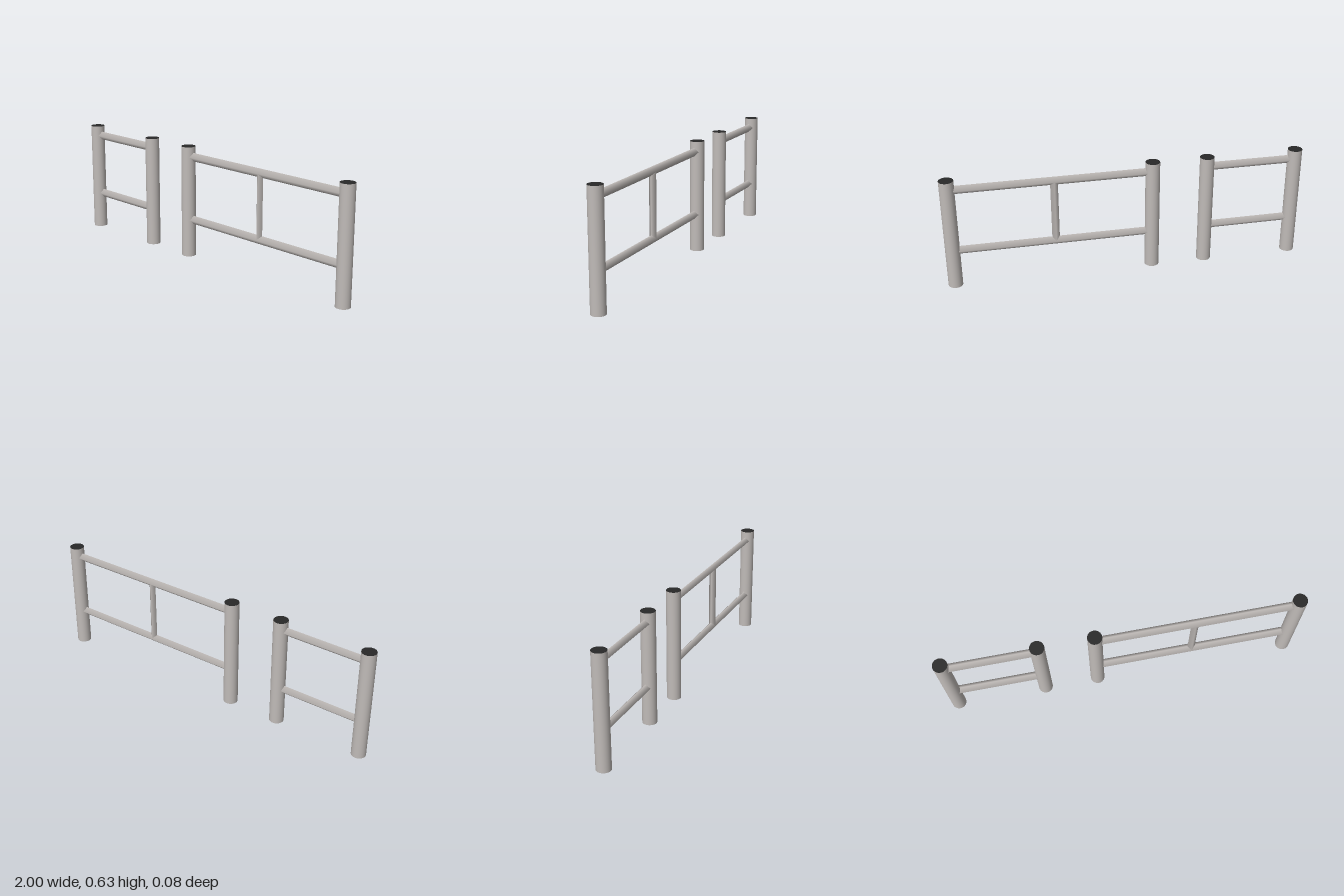
import * as THREE from 'three';

export function createModel() {
  const model = new THREE.Group();
  model.name = 'railings';

  const metal = new THREE.MeshStandardMaterial({ color: 0xc0bbb8, side: THREE.DoubleSide });
  metal.name = 'light warm grey metal';
  const dark = new THREE.MeshStandardMaterial({ color: 0x282828, side: THREE.DoubleSide });
  dark.name = 'near black';

  const HEIGHT = 0.635;
  const POST_R = 0.04;
  const RAIL_R = 0.024;
  const RAIL_Y = [0.215, 0.578];

  // Open-ended smooth tube, standing upright
  function tube(name, radius, length, sides, parent) {
    const mesh = new THREE.Mesh(new THREE.CylinderGeometry(radius, radius, length, sides, 1, true), metal);
    mesh.name = name;
    parent.add(mesh);
    return mesh;
  }

  // Post with a dark closed top and an open foot
  function addPost(x, parent) {
    const post = new THREE.Group();
    post.name = 'post';
    post.position.x = x;
    tube('postTube', POST_R, HEIGHT, 24, post).position.y = HEIGHT / 2;
    const cap = new THREE.Mesh(new THREE.CircleGeometry(POST_R, 24), dark);
    cap.name = 'postCap';
    cap.rotation.x = -Math.PI / 2;
    cap.position.y = HEIGHT;
    post.add(cap);
    parent.add(post);
  }

  // Two posts joined by a lower and an upper rail
  function addSection(name, x0, x1) {
    const section = new THREE.Group();
    section.name = name;
    addPost(x0, section);
    addPost(x1, section);
    for (const y of RAIL_Y) {
      const rail = tube('rail', RAIL_R, x1 - x0 - 0.06, 4, section);
      rail.rotation.z = Math.PI / 2;
      rail.position.set((x0 + x1) / 2, y, 0);
    }
    model.add(section);
    return section;
  }

  addSection('shortSection', -0.96, -0.453);
  const long = addSection('longSection', -0.147, 0.96);

  // Upright between the rails of the long section
  const upright = tube('middleUpright', 0.021, RAIL_Y[1] - RAIL_Y[0], 4, long);
  upright.position.set(0.395, (RAIL_Y[0] + RAIL_Y[1]) / 2, 0);

  return model;
}
